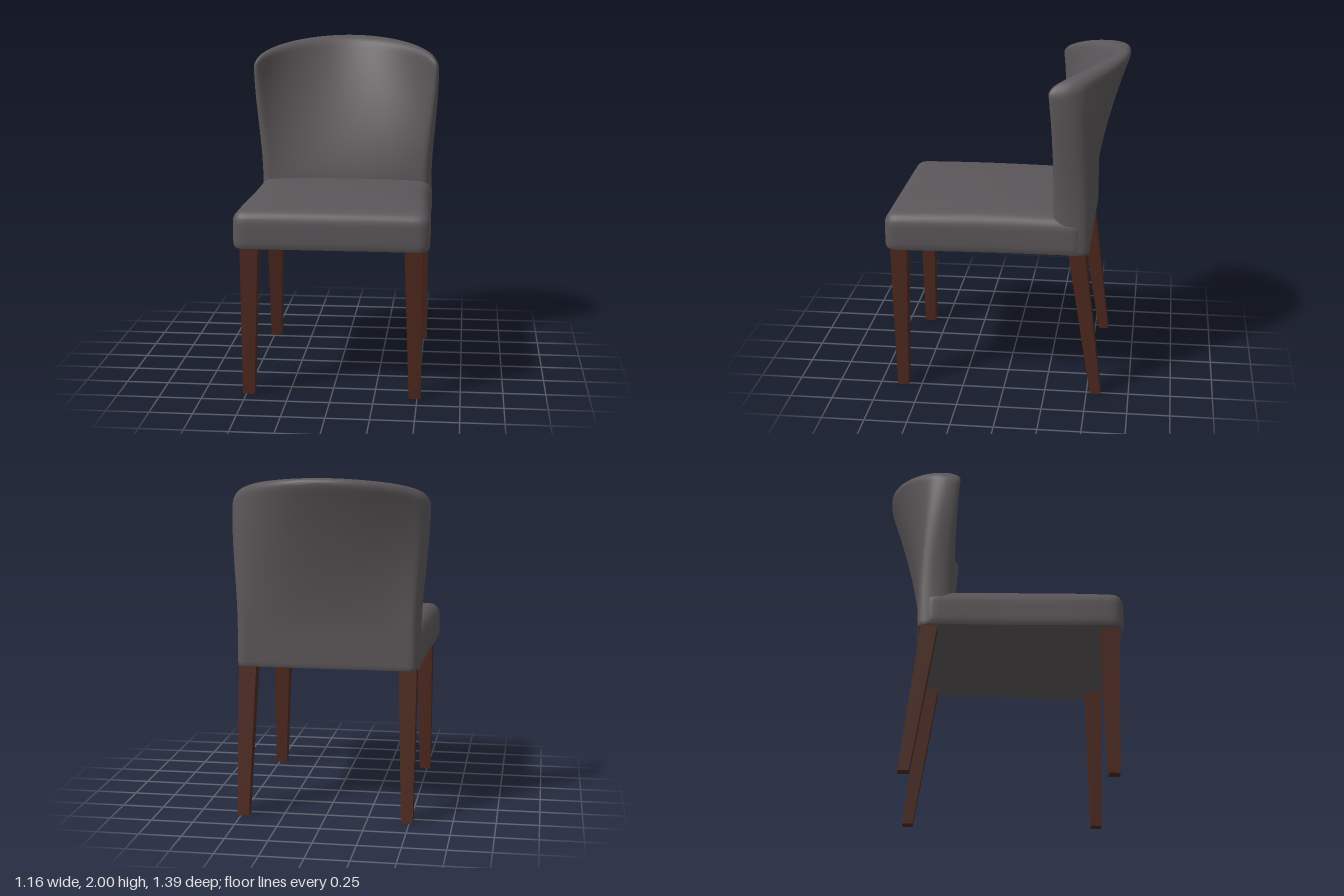
import * as THREE from 'three';
import { mergeVertices, toCreasedNormals } from 'three/addons/utils/BufferGeometryUtils.js';

const fabric = new THREE.MeshStandardMaterial({ color: 0x5b5659 });
fabric.name = 'greyFabric';
const wood = new THREE.MeshStandardMaterial({ color: 0x4c281e });
wood.name = 'darkWood';

// Move every vertex of a geometry by a rule
function warp(geo, rule) {
  const pos = geo.attributes.position, p = new THREE.Vector3();
  for (let i = 0; i < pos.count; i++) {
    rule(p.fromBufferAttribute(pos, i));
    pos.setXYZ(i, p.x, p.y, p.z);
  }
  return geo;
}

// Rounded, finely divided box that is then bent by a rule
function cushion(name, w, h, d, r, segs, rule) {
  let geo = new THREE.BoxGeometry(w, h, d, ...segs);
  geo.deleteAttribute('uv');
  geo.deleteAttribute('normal');
  geo = mergeVertices(geo);
  const half = new THREE.Vector3(w / 2, h / 2, d / 2);
  const inner = half.clone().subScalar(r), outer = inner.clone().negate();
  const q = new THREE.Vector3();
  warp(geo, p => {
    // crowd the rows towards the edges, then round the edges
    for (const a of ['x', 'y', 'z']) p[a] = Math.sin(p[a] / half[a] * Math.PI / 2) * half[a];
    q.copy(p).clamp(outer, inner);
    p.sub(q).setLength(r).add(q);
    rule(p);
  });
  const mesh = new THREE.Mesh(toCreasedNormals(geo, 0.7), fabric);
  mesh.name = name;
  return mesh;
}

// Tapered leg between a top and a bottom rectangle [x0, x1, z0, z1]
function leg(name, top, bottom, side) {
  const height = 0.91;
  const geo = warp(new THREE.BoxGeometry(1, height, 1), p => {
    const [x0, x1, z0, z1] = p.y > 0 ? top : bottom;
    // mirrored legs swap the inner and outer faces, so the winding is kept
    p.x = p.x * side > 0 ? x1 * side : x0 * side;
    p.z = p.z > 0 ? z1 : z0;
    p.y += height / 2;
  });
  geo.computeVertexNormals();
  const mesh = new THREE.Mesh(geo, wood);
  mesh.name = name;
  return mesh;
}

export function createModel() {
  const chair = new THREE.Group();
  chair.name = 'diningChair';
  const base = 0.885;

  // Seat: crowned top, flat underside, wider towards the front
  chair.add(cushion('seat', 1.09, 0.25, 1.17, 0.065, [32, 14, 32], p => {
    const u = p.x / 0.545, v = p.z / 0.585;
    if (p.y > 0) p.y += 0.034 * (1 - u ** 4) * (1 - v * v) * p.y / 0.125;
    p.y = Math.max(p.y + 0.978, base);
    p.z += 0.113;
    p.x *= 1 + 0.038 * THREE.MathUtils.smoothstep(p.z, -0.1, 0.65);
  }));

  // Backrest: straight at the foot, curling into a raked arc with forward wings at the top
  chair.add(cushion('backrest', 1.08, 1.16, 0.12, 0.05, [40, 36, 12], p => {
    const s = Math.abs(p.x / 0.54), w = p.z / 0.12 + 0.5;
    const t = (p.y + 0.58) / 1.16;
    const y = 0.84 + t * (1.16 - 0.08 * s ** 2 - 0.05 * s ** 8);
    const rise = Math.max(0, (y - 1.1) / 0.87);
    const kb = Math.pow(rise, 1.6), kf = Math.pow(rise, 1.35);
    const back = -0.5 + kb * (-0.2 + 0.33 * s ** 2.6);
    const front = -0.29 + kf * (-0.305 + 0.325 * s ** 2 + 0.07 * s ** 6);
    p.z = back + (front - back) * w;
    p.x *= 1 + 0.075 * THREE.MathUtils.smoothstep(y, 1.1, 1.8);
    p.y = Math.max(y, base);
  }));

  // Legs: upright in front, raked behind
  for (const side of [1, -1]) {
    const label = side > 0 ? 'Left' : 'Right';
    chair.add(
      leg('front' + label + 'Leg', [0.42, 0.525, 0.57, 0.668], [0.452, 0.521, 0.58, 0.645], side),
      leg('rear' + label + 'Leg', [0.42, 0.525, -0.476, -0.378], [0.452, 0.521, -0.585, -0.522], side)
    );
  }
  return chair;
}
